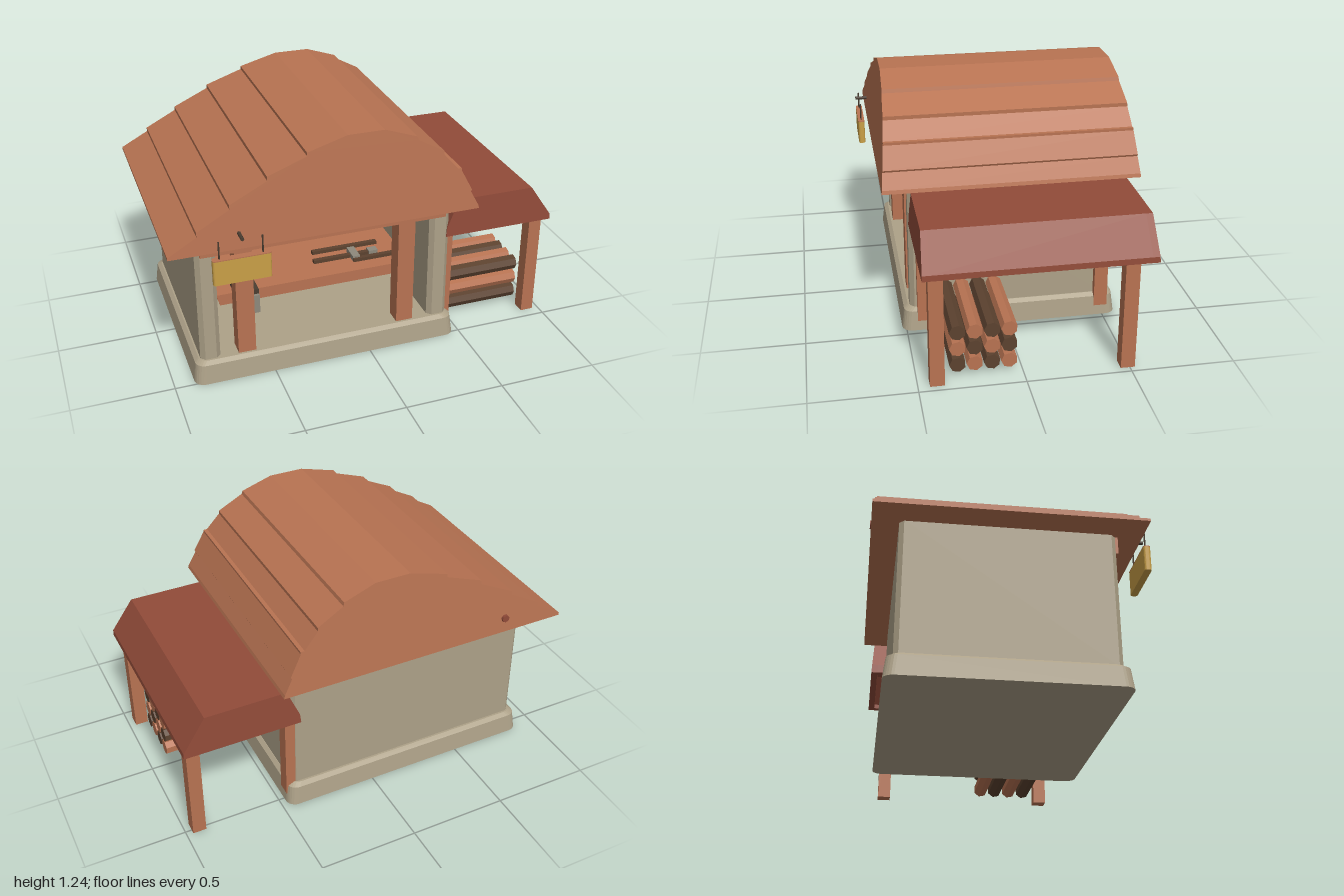
import * as THREE from 'three';

const mat = (name, color, side = THREE.FrontSide) => {
  const m = new THREE.MeshStandardMaterial({ color, side });
  m.name = name;
  return m;
};

export function createModel() {
  const stone = mat('stone', 0xada188);
  const wood = mat('wood', 0xb87352);
  const darkWood = mat('dark wood', 0x5c422f);
  const redTile = mat('red tile', 0x914b39);
  const gold = mat('gold', 0xc99f47);
  const iron = mat('iron', 0x4a3d31);
  const steel = mat('steel', 0x8e897c);

  const model = new THREE.Group();
  model.name = 'workshop';

  const add = (name, geometry, material, parent = model) => {
    const mesh = new THREE.Mesh(geometry, material);
    mesh.name = name;
    parent.add(mesh);
    return mesh;
  };
  const group = (name) => {
    const g = new THREE.Group();
    g.name = name;
    model.add(g);
    return g;
  };
  // Box given by its limits on each axis
  const box = (name, [x0, x1], [y0, y1], [z0, z1], material, parent) => {
    const g = new THREE.BoxGeometry(x1 - x0, y1 - y0, z1 - z0);
    g.translate((x0 + x1) / 2, (y0 + y1) / 2, (z0 + z1) / 2);
    return add(name, g, material, parent);
  };
  const rod = (r, length, sides = 8) => new THREE.CylinderGeometry(r, r, length, sides);

  // Moves every vertex by a rule and rebuilds the normals
  const reshape = (g, rule) => {
    const p = g.attributes.position;
    const v = new THREE.Vector3();
    for (let i = 0; i < p.count; i++) {
      rule(v.fromBufferAttribute(p, i));
      p.setXYZ(i, v.x, v.y, v.z);
    }
    g.computeVertexNormals();
    return g;
  };

  // Upright extrusion of a plan drawn as (x, -z), narrowing by inset at the top
  const upright = (shape, y0, y1, cx = 0, cz = 0, hx = 1, hz = 1, inset = 0) => {
    const g = new THREE.ExtrudeGeometry(shape, { depth: 1, bevelEnabled: false, curveSegments: 3 });
    g.rotateX(-Math.PI / 2);
    return reshape(g, (v) => {
      const t = v.y;
      v.x = cx + (v.x - cx) * (1 - (inset * t) / hx);
      v.z = cz + (v.z - cz) * (1 - (inset * t) / hz);
      v.y = y0 + t * (y1 - y0);
    });
  };
  const roundedPlan = (cx, cz, hx, hz, r) => {
    const s = new THREE.Shape();
    s.absarc(cx + hx - r, -cz + hz - r, r, 0, Math.PI / 2);
    s.absarc(cx - hx + r, -cz + hz - r, r, Math.PI / 2, Math.PI);
    s.absarc(cx - hx + r, -cz - hz + r, r, Math.PI, Math.PI * 1.5);
    s.absarc(cx + hx - r, -cz - hz + r, r, Math.PI * 1.5, Math.PI * 2);
    s.closePath();
    return s;
  };

  // Stone plinth with a sloping upper edge
  const cx = -0.215, cz = -0.025;
  const plinth = group('plinth');
  add('plinthBody', upright(roundedPlan(cx, cz, 0.685, 0.545, 0.05), 0, 0.1, cx, cz, 0.685, 0.545, 0.012), stone, plinth);
  add('plinthEdge', upright(roundedPlan(cx, cz, 0.673, 0.533, 0.05), 0.1, 0.116, cx, cz, 0.673, 0.533, 0.02), stone, plinth);

  // Three walls as one plan, open to the front
  const c = 0.022;
  const plan = [
    [-0.86 + c, 0.478], [-0.76 - c, 0.478], [-0.76, 0.478 - c], [-0.76, -0.43],
    [0.33, -0.43], [0.33, 0.478 - c], [0.33 + c, 0.478], [0.435 - c, 0.478],
    [0.435, 0.478 - c], [0.435, -0.528 + c], [0.435 - c, -0.528],
    [-0.86 + c, -0.528], [-0.86, -0.528 + c], [-0.86, 0.478 - c],
  ].map(([x, z]) => new THREE.Vector2(x, -z));
  add('walls', upright(new THREE.Shape(plan), 0.11, 0.778, cx, cz, 0.647, 0.503, 0.004), stone);

  // Front posts and beam
  const frame = group('frontFrame');
  box('beam', [-0.835, 0.4], [0.688, 0.776], [0.41, 0.487], wood, frame);
  for (const x of [-0.628, 0.2])
    box('frontPost', [x - 0.044, x + 0.044], [0.1, 0.69], [0.39, 0.476], wood, frame);

  // Curved main roof with overlapping courses; its ends lean inward
  const outline = [
    [-1, 0.772], [0.52, 0.772], [0.515, 0.79], [0.475, 0.865], [0.48, 0.875],
    [0.425, 0.98], [0.425, 0.992], [0.405, 0.992], [0.335, 1.072], [0.335, 1.09],
    [0.205, 1.162], [0.2, 1.18], [0.04, 1.235], [-0.14, 1.235], [-0.335, 1.18],
    [-0.335, 1.163], [-0.525, 1.095], [-0.525, 1.075], [-0.705, 0.988],
    [-0.705, 0.968], [-0.862, 0.883], [-0.862, 0.862], [-1, 0.785],
  ].map(([x, y]) => new THREE.Vector2(x, y));
  const roof = new THREE.ExtrudeGeometry(new THREE.Shape(outline), { depth: 1, bevelEnabled: false });
  reshape(roof, (v) => {
    const half = 0.625 - 0.045 * ((v.y - 0.772) / 0.463);
    v.z = -0.025 + (v.z - 0.5) * 2 * half;
  });
  add('mainRoof', roof, wood);

  // Hanging sign on an iron arm
  const sign = group('hangingSign');
  add('signBoard', upright(roundedPlan(-0.672, 0.633, 0.137, 0.017, 0.012), 0.63, 0.753), gold, sign);
  add('signCap', upright(roundedPlan(-0.672, 0.633, 0.137, 0.017, 0.012), 0.753, 0.757), wood, sign);
  const arm = add('signArm', rod(0.009, 0.12), iron, sign);
  arm.rotation.x = Math.PI / 2;
  arm.position.set(-0.67, 0.85, 0.595);
  for (const x of [-0.775, -0.572])
    add('hanger', rod(0.004, 0.09, 6), iron, sign).position.set(x, 0.8, 0.633);
  const cap = add('backPeg', rod(0.02, 0.05, 7), redTile);
  cap.rotation.x = Math.PI / 2;
  cap.position.set(-0.67, 0.85, -0.63);

  // Workbench with a tapered top
  const bench = group('workbench');
  const top = new THREE.BoxGeometry(1.03, 0.06, 0.41);
  reshape(top, (v) => {
    if (v.y < 0) v.x *= 0.965;
  });
  top.translate(-0.215, 0.315, 0.085);
  add('benchTop', top, wood, bench);
  box('viseHead', [-0.64, -0.53], [0.345, 0.385], [0.2, 0.36], iron, bench);
  box('viseJaw', [-0.63, -0.53], [0.26, 0.36], [0.295, 0.375], steel, bench);

  // Tools lying on the bench
  for (const [x0, x1, z] of [[-0.18, 0.12, 0.15], [-0.16, 0.2, 0.06], [0.02, 0.29, 0.2]])
    box('toolHandle', [x0, x1], [0.345, 0.363], [z - 0.012, z + 0.012], darkWood, bench);
  box('hammerHead', [0.02, 0.06], [0.345, 0.373], [0.1, 0.2], steel, bench);
  box('chiselBlade', [0.12, 0.17], [0.345, 0.37], [0.13, 0.17], steel, bench);

  // Side shed roof: a hollow hood with closed ends
  const shed = group('sideShed');
  const hood = [[0.415, 0.562], [0.42, 0.61], [0.482, 0.755], [0.885, 0.755], [0.998, 0.59], [1, 0.562]];
  const inner = [[0.965, 0.562], [0.965, 0.585], [0.868, 0.725], [0.505, 0.725], [0.45, 0.605], [0.45, 0.562]];
  const slab = (name, points, z0, z1) => {
    const s = new THREE.Shape(points.map(([x, y]) => new THREE.Vector2(x, y)));
    const g = new THREE.ExtrudeGeometry(s, { depth: z1 - z0, bevelEnabled: false });
    reshape(g, (v) => {
      v.z = (v.z + z0) * (1 - 0.02 * ((v.y - 0.562) / 0.193)) - 0.065;
    });
    add(name, g, redTile, shed);
  };
  slab('shedRoof', [...hood, ...inner], -0.505, 0.505);
  slab('shedRoofEnd', hood, 0.505, 0.538);
  slab('shedRoofEnd', hood, -0.538, -0.505);

  // Shed posts, the inner pair against the wall
  for (const z of [0.41, -0.49]) {
    box('shedPost', [0.9, 0.967], [0, 0.6], [z - 0.034, z + 0.034], wood, shed);
    box('wallPost', [0.4, 0.466], [0.05, 0.6], [z - 0.034, z + 0.034], wood, shed);
  }

  // Stacked firewood in alternating woods
  const logs = group('firewood');
  for (let row = 0; row < 3; row++)
    for (let col = 0; col < 4; col++) {
      const g = rod(0.039, 0.445, 7).toNonIndexed();
      g.computeVertexNormals();
      const log = add('log', g, (row + col) % 2 ? wood : darkWood, logs);
      log.rotation.z = Math.PI / 2;
      log.position.set(0.682, 0.062 + row * 0.085, 0.308 - col * 0.081);
    }

  return model;
}
